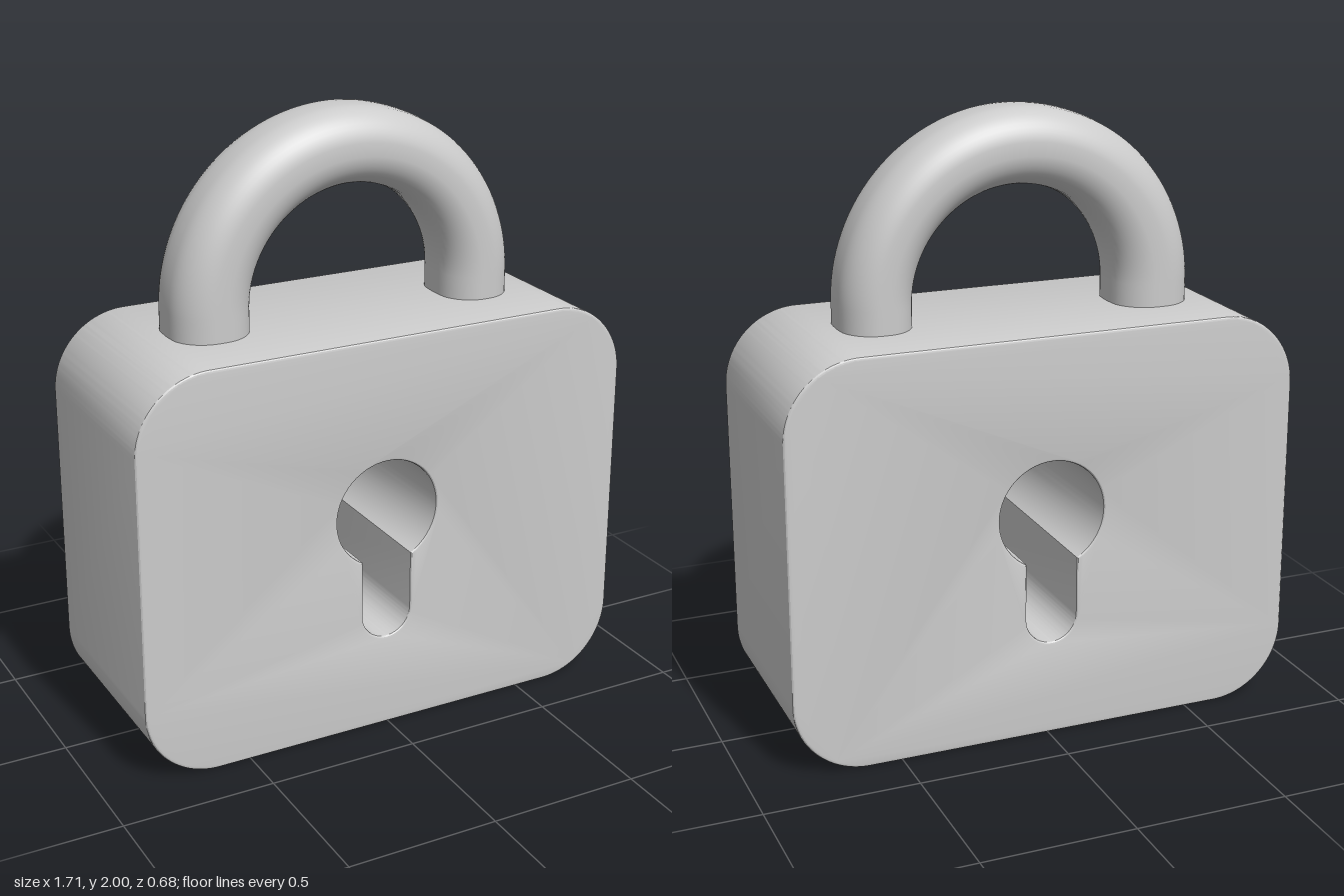
import * as THREE from 'three';
import { toCreasedNormals } from 'three/addons/utils/BufferGeometryUtils.js';
import { ParametricGeometry } from 'three/addons/geometries/ParametricGeometry.js';

const clamp = THREE.MathUtils.clamp;

// Rounded rectangle outline of the case
function caseShape(w, h, r) {
  const s = new THREE.Shape();
  s.absarc(w - r, r, r, -Math.PI / 2, 0);
  s.absarc(w - r, h - r, r, 0, Math.PI / 2);
  s.absarc(-w + r, h - r, r, Math.PI / 2, Math.PI);
  s.absarc(-w + r, r, r, Math.PI, Math.PI * 1.5);
  return s;
}

// Round hole with a round-ended slot below it
function keyholePath(cx, cy, r, slot, slotY) {
  const p = new THREE.Path();
  const a = Math.asin(slot / r);
  p.absarc(cx, cy, r, -Math.PI / 2 + a, Math.PI * 1.5 - a);
  p.absarc(cx, slotY, slot, Math.PI, Math.PI * 2);
  p.closePath();
  return p;
}

export function createModel() {
  const group = new THREE.Group();
  const material = new THREE.MeshStandardMaterial({ color: 0xcccccc });

  // Case with the keyhole cut right through
  const shape = caseShape(0.853, 1.337, 0.245);
  shape.holes.push(keyholePath(-0.01, 0.753, 0.178, 0.086, 0.406));
  const bevel = 0.01;
  const depth = 0.68 - 2 * bevel;
  const caseGeometry = new THREE.ExtrudeGeometry(shape, {
    depth, curveSegments: 24,
    bevelThickness: bevel, bevelSize: bevel, bevelOffset: -bevel, bevelSegments: 3,
  });
  caseGeometry.translate(0, 0, -depth / 2);
  const body = new THREE.Mesh(toCreasedNormals(caseGeometry, 0.4), material);
  body.name = 'lockCase';
  group.add(body);

  // Shackle: rounded section swept over a half circle, with short straight legs sunk in the case
  const shackleGeometry = new ParametricGeometry((u, v, target) => {
    const s = -0.3 + v * (Math.PI + 0.6);
    const t = clamp(s, 0, Math.PI);
    const drop = Math.max(0, -s, s - Math.PI) * 0.5;
    const c = Math.cos(u * Math.PI * 2), d = -Math.sin(u * Math.PI * 2);
    const across = 0.115 * c + 0.009 * clamp(c * 6, -1, 1);
    const z = 0.115 * d + 0.028 * clamp(d * 4, -1, 1);
    const k = 0.5 + across / 0.248; // 0 at the inner edge, 1 at the outer edge
    const radius = 0.345 + 0.246 * k;
    target.set(-0.0125 * k + radius * Math.cos(t), 1.409 + radius * Math.sin(t) - drop, z);
  }, 48, 72);
  const shackle = new THREE.Mesh(shackleGeometry, material);
  shackle.name = 'shackle';
  group.add(shackle);

  return group;
}
